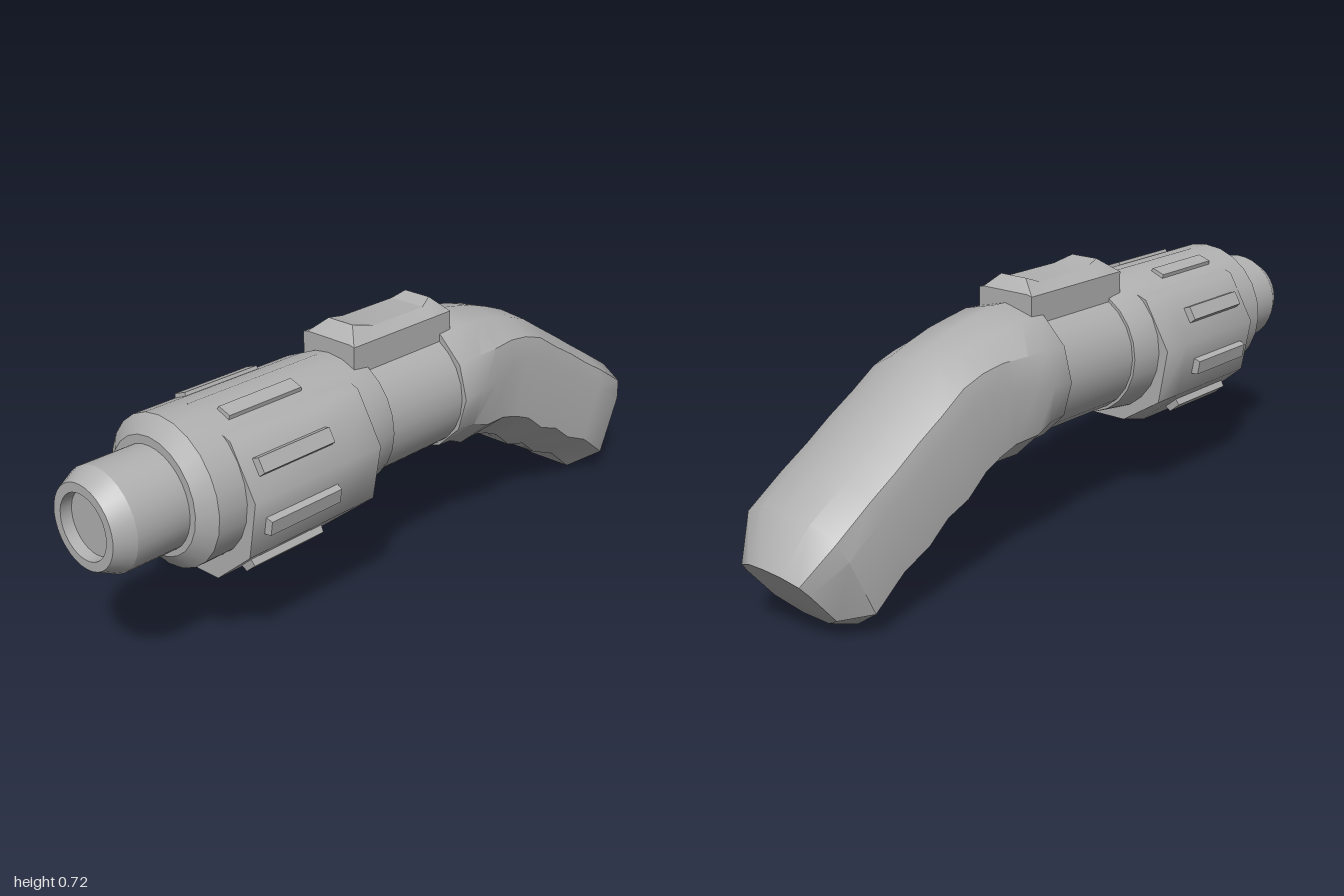
import * as THREE from 'three';
import { toCreasedNormals } from 'three/addons/utils/BufferGeometryUtils.js';

const grey = new THREE.MeshStandardMaterial({ color: 0xb0b0b0 });
grey.name = 'grey';
const AXIS = 0.458; // height of the barrel axis

function add(parent, name, geometry) {
  const mesh = new THREE.Mesh(geometry, grey);
  mesh.name = name;
  parent.add(mesh);
  return mesh;
}

// Profile of [radius, z] pairs, turned around the z axis, with a corner on top
function turned(profile, sides, y) {
  const pts = profile.map(([r, z]) => new THREE.Vector2(r, z));
  return new THREE.LatheGeometry(pts, sides, Math.PI).rotateX(Math.PI / 2).translate(0, y, 0);
}

// Skin over rings running front to back, each counterclockwise seen from the front
function loft(rings, crease) {
  const pos = [];
  const tri = (...pts) => pts.forEach((p) => pos.push(...p));
  const n = rings[0].length;
  const mid = (ring) => [0, 1, 2].map((k) => ring.reduce((s, p) => s + p[k], 0) / n);
  const last = rings[rings.length - 1];
  const front = mid(rings[0]), back = mid(last);
  for (let j = 0; j < n; j++) {
    const k = (j + 1) % n;
    for (let i = 0; i < rings.length - 1; i++) {
      const a = rings[i][j], b = rings[i][k], c = rings[i + 1][k], d = rings[i + 1][j];
      tri(a, d, c);
      tri(a, c, b);
    }
    tri(front, rings[0][j], rings[0][k]);
    tri(back, last[k], last[j]);
  }
  const g = new THREE.BufferGeometry();
  g.setAttribute('position', new THREE.Float32BufferAttribute(pos, 3));
  return toCreasedNormals(g, crease);
}

export function createModel() {
  const model = new THREE.Group();
  model.name = 'blasterHandle';

  // Muzzle with a shallow recess
  add(model, 'muzzle', toCreasedNormals(turned([
    [0.133, 0.75], [0.133, 0.95], [0.108, 1], [0.084, 1], [0.082, 0.97], [0, 0.97],
  ], 32, AXIS), 0.4));

  // Barrel body and the thinner neck behind it
  add(model, 'barrel', toCreasedNormals(turned([
    [0, 0.16], [0.182, 0.16], [0.195, 0.26], [0.195, 0.765], [0.152, 0.8], [0, 0.8],
  ], 24, AXIS + 0.004), 0.6));
  add(model, 'neck', turned([[0.174, -0.16], [0.174, 0.18]], 24, AXIS + 0.004));

  // Nine-sided sleeve, its underside rising at the rear
  const R = 0.226, sleeveY = 0.432;
  const sleeve = turned([[0, 0.255], [R, 0.255], [R, 0.35], [R, 0.68], [0, 0.68]], 9, sleeveY);
  const sp = sleeve.attributes.position;
  for (let i = 0; i < sp.count; i++) {
    if (sp.getZ(i) < 0.3 && sp.getY(i) < 0.25) sp.setY(i, sp.getY(i) + 0.025);
  }
  add(model, 'sleeve', toCreasedNormals(sleeve, 0.8));

  // Bevelled ribs on every sleeve face but the lowest
  const rib = new THREE.BoxGeometry(0.054, 0.04, 0.245).toNonIndexed();
  const rp = rib.attributes.position;
  for (let i = 0; i < rp.count; i++) {
    if (rp.getY(i) > 0) {
      rp.setX(i, rp.getX(i) * 0.72);
      rp.setZ(i, rp.getZ(i) * 0.95);
    }
  }
  rib.computeVertexNormals();
  const ribs = new THREE.Group();
  ribs.name = 'ribs';
  model.add(ribs);
  for (const deg of [20, 60, 100, 140]) {
    for (const side of [-1, 1]) {
      const a = side * THREE.MathUtils.degToRad(deg);
      const mesh = add(ribs, 'rib', rib);
      mesh.position.set(Math.sin(a) * 0.211, sleeveY + Math.cos(a) * 0.211, 0.52);
      mesh.rotation.z = -a;
    }
  }

  // Saddle block on top, rows of z, top height, top half width
  const block = [
    [0.21, 0.69, 0.075], [0.165, 0.723, 0.042], [0.1, 0.708, 0.055],
    [-0.09, 0.708, 0.055], [-0.13, 0.723, 0.042], [-0.163, 0.69, 0.075],
  ].map(([z, y, w]) => [
    [-0.09, 0.61, z], [0.09, 0.61, z], [0.09, 0.686, z],
    [w, y, z], [-w, y, z], [-0.09, 0.686, z],
  ]);
  add(model, 'topBlock', loft(block, 0.35));

  // Grip: rows of top z, top y, bottom z, bottom y, half width, round-to-angular blend
  const half = [[0, 0], [0.5, 0.025], [0.91, 0.13], [1, 0.28], [1, 0.78], [0.41, 1], [0, 1]];
  const grip = [
    [-0.12, 0.655, -0.12, 0.28, 0.188, 0],
    [-0.21, 0.66, -0.17, 0.28, 0.194, 0.1],
    [-0.28, 0.647, -0.22, 0.26, 0.188, 0.35],
    [-0.36, 0.63, -0.3, 0.265, 0.176, 0.65],
    [-0.43, 0.607, -0.36, 0.252, 0.17, 0.9],
    [-0.5, 0.58, -0.41, 0.232, 0.169, 1],
    [-0.58, 0.531, -0.47, 0.18, 0.169, 1],
    [-0.66, 0.482, -0.54, 0.16, 0.169, 1],
    [-0.74, 0.432, -0.6, 0.11, 0.169, 1],
    [-0.82, 0.383, -0.69, 0.075, 0.169, 1],
    [-0.93, 0.315, -0.78, 0, 0.168, 1],
    [-1, 0.2, -0.85, 0.02, 0.11, 1],
  ].map(([tz, ty, bz, by, w, blend]) => {
    const point = (j, side) => {
      const a = (j * Math.PI) / 6;
      const x = THREE.MathUtils.lerp(Math.sin(a), half[j][0], blend);
      const u = THREE.MathUtils.lerp((1 - Math.cos(a)) / 2, half[j][1], blend);
      return [side * x * w, ty + (by - ty) * u, tz + (bz - tz) * u];
    };
    return [
      ...[0, 1, 2, 3, 4, 5, 6].map((j) => point(j, -1)),
      ...[5, 4, 3, 2, 1].map((j) => point(j, 1)),
    ];
  });
  add(model, 'grip', loft(grip, 0.6));

  return model;
}
